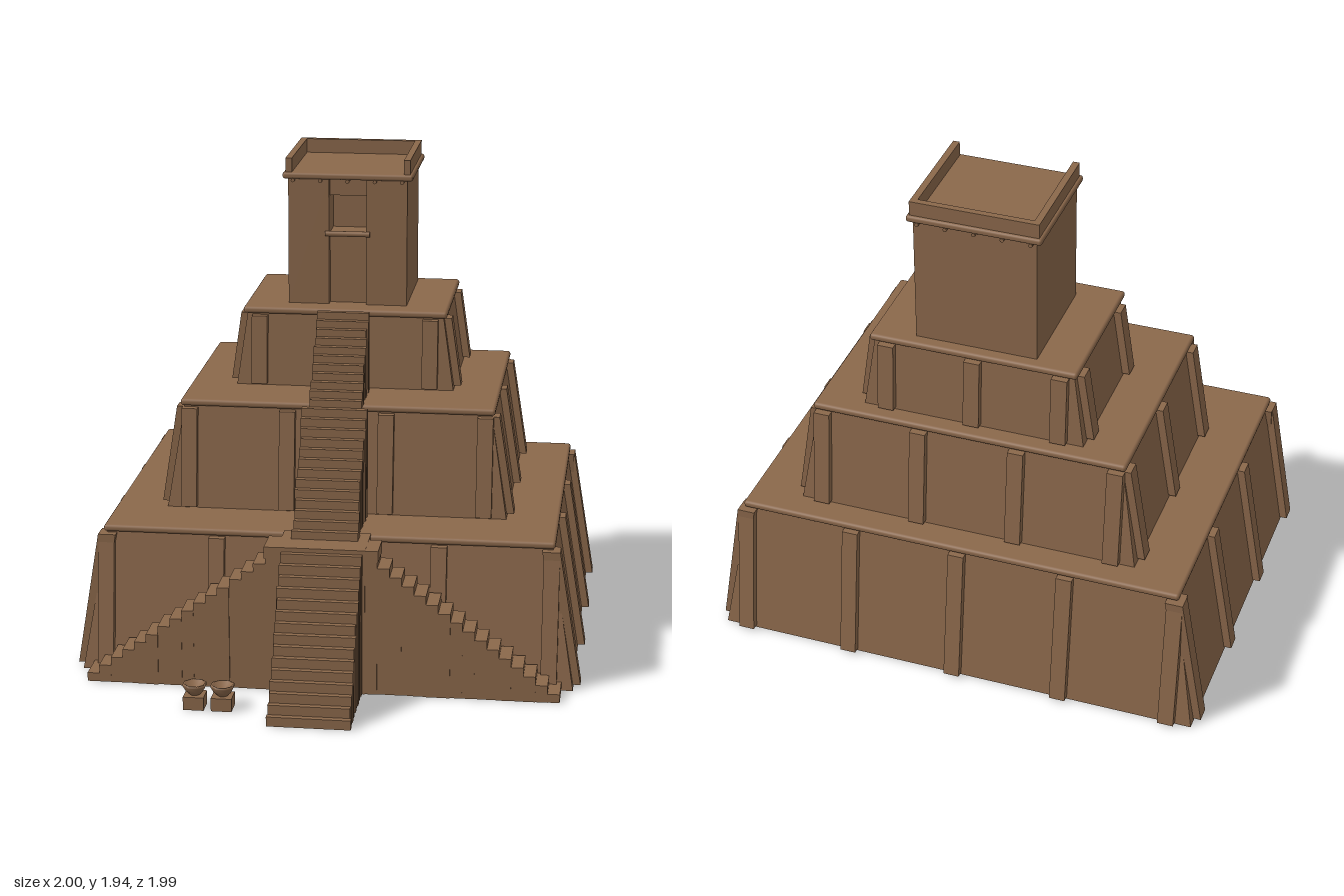
import * as THREE from 'three';
import { RoundedBoxGeometry } from 'three/addons/geometries/RoundedBoxGeometry.js';

const clay = new THREE.MeshStandardMaterial({ color: 0x8b684b });
clay.name = 'mudBrick';

// small seeded wobble for hand-laid bricks
let seed = 7;
const wobble = (a) => {
  seed = (seed * 16807) % 2147483647;
  return (seed / 2147483647 - 0.5) * 2 * a;
};

function add(parent, name, geometry, x = 0, y = 0, z = 0) {
  const mesh = new THREE.Mesh(geometry, clay);
  mesh.name = name;
  mesh.position.set(x, y, z);
  parent.add(mesh);
  return mesh;
}

// box given by its limits
function block(parent, name, x0, x1, y0, y1, z0, z1) {
  return add(parent, name, new THREE.BoxGeometry(x1 - x0, y1 - y0, z1 - z0),
    (x0 + x1) / 2, (y0 + y1) / 2, (z0 + z1) / 2);
}

// move the upper corners of a box by a rule
function reshapeTop(geometry, rule) {
  const p = geometry.attributes.position;
  for (let i = 0; i < p.count; i++) {
    if (p.getY(i) > 0) {
      const [x, z] = rule(p.getX(i), p.getZ(i));
      p.setX(i, x);
      p.setZ(i, z);
    }
  }
  geometry.computeVertexNormals();
  return geometry;
}

// sloped terrace with a rounded cap and leaning buttresses on all sides
function tier(root, t) {
  const g = new THREE.Group();
  g.name = t.name;
  g.position.set(0, t.y0, t.cz);
  root.add(g);
  const h = t.y1 - t.y0;
  const bodyH = h - 0.015;
  const [bx, bz] = t.bottom, [tx, tz] = t.top, [cx, cz] = t.cap;
  add(g, 'slopedWalls', reshapeTop(new THREE.BoxGeometry(bx * 2, bodyH, bz * 2),
    (x, z) => [Math.sign(x) * tx, Math.sign(z) * tz]), 0, bodyH / 2, 0);
  add(g, 'terraceCap', new RoundedBoxGeometry(cx * 2, 0.028, cz * 2, 2, 0.012), 0, h - 0.014, 0);

  const ribH = h - 0.045, depth = 0.07;
  const sides = [
    [0, bz, tz, t.alongX], [Math.PI, bz, tz, t.alongX],
    [Math.PI / 2, bx, tx, t.alongZ], [-Math.PI / 2, bx, tx, t.alongZ],
  ];
  for (const [angle, b, top, spots] of sides) {
    const side = new THREE.Group();
    side.name = 'buttressRow';
    side.rotation.y = angle;
    g.add(side);
    const lean = (b - top) * ribH / bodyH;
    for (const s of spots) {
      add(side, 'buttress', reshapeTop(new THREE.BoxGeometry(0.063, ribH, depth),
        (x, z) => [x, z - lean]), s, 0.01 + ribH / 2, b + 0.028 - depth / 2);
    }
  }
}

// straight flight climbing towards the back, each step a full column
function flight(root, name, half, zFront, zBack, y0, y1, n) {
  const g = new THREE.Group();
  g.name = name;
  root.add(g);
  const run = (zFront - zBack) / n, rise = (y1 - y0) / n;
  for (let i = 0; i < n; i++) {
    const z = zFront - i * run;
    block(g, 'step', -half + wobble(0.004), half + wobble(0.004),
      y0, y0 + (i + 1) * rise, z - run, z);
  }
}

// flight climbing along the front wall towards the middle
function sideFlight(root, sign) {
  const g = new THREE.Group();
  g.name = sign > 0 ? 'leftSideStair' : 'rightSideStair';
  root.add(g);
  const n = 16, run = (0.925 - 0.17) / n;
  for (let i = 0; i < n; i++) {
    const a = sign * (0.925 - i * run), b = a - sign * run;
    block(g, 'step', Math.min(a, b), Math.max(a, b), 0, 0.55 * (i + 1) / n,
      0.495 + wobble(0.006), 0.63 + wobble(0.004));
  }
}

// shrine with a recessed doorway and a parapet open to the front
function shrine(root) {
  const g = new THREE.Group();
  g.name = 'shrine';
  root.add(g);
  const y0 = 1.345, y1 = 1.865, zf = -0.197, zb = -0.657;
  block(g, 'hall', -0.24, 0.24, y0, y1, zb, zf - 0.14);
  for (const s of [-1, 1]) {
    block(g, 'frontWall', s > 0 ? 0.075 : -0.24, s > 0 ? 0.24 : -0.075, y0, y1, zf - 0.14, zf);
  }
  block(g, 'doorPanel', -0.075, 0.075, y0, 1.64, zf - 0.14, zf - 0.035);
  block(g, 'doorHeader', -0.075, 0.075, 1.79, y1, zf - 0.14, zf - 0.035);
  const lintel = add(g, 'lintelPole', new THREE.CylinderGeometry(0.011, 0.011, 0.18, 10), 0, 1.64, zf + 0.002);
  lintel.rotation.z = Math.PI / 2;

  // cornice, beam ends and parapet
  add(g, 'cornice', new RoundedBoxGeometry(0.525, 0.026, 0.49, 2, 0.01), 0, 1.873, -0.432);
  for (const x of [-0.22, -0.11, 0, 0.11, 0.22]) {
    const beam = add(g, 'roofBeam', new THREE.CylinderGeometry(0.008, 0.008, 0.49, 8), x, 1.855, -0.43);
    beam.rotation.x = Math.PI / 2;
  }
  for (const s of [-1, 1]) {
    block(g, 'sideParapet', s * 0.238 - 0.013, s * 0.238 + 0.013, 1.88, 1.943, -0.665, -0.2);
  }
  block(g, 'backParapet', -0.225, 0.225, 1.88, 1.943, -0.665, -0.64);
}

// fire bowl on a square plinth
function bowl(root, x) {
  const g = new THREE.Group();
  g.name = 'fireBowl';
  g.position.set(x, 0, 0.835);
  root.add(g);
  block(g, 'plinth', -0.04, 0.04, 0, 0.052, -0.04, 0.04);
  const profile = [[0, 0.05], [0.02, 0.052], [0.036, 0.068], [0.047, 0.088], [0.047, 0.096],
    [0.04, 0.096], [0.025, 0.08], [0, 0.073]].map(([r, y]) => new THREE.Vector2(r, y));
  const dish = add(g, 'dish', new THREE.LatheGeometry(profile, 8));
  dish.rotation.y = Math.PI / 8;
}

export function createModel() {
  const root = new THREE.Group();
  root.name = 'steppedTemple';
  tier(root, { name: 'lowerTier', y0: 0, y1: 0.585, cz: -0.235, bottom: [0.97, 0.733], top: [0.875, 0.655],
    cap: [0.888, 0.677], alongX: [-0.875, -0.437, 0, 0.437, 0.875], alongZ: [-0.66, -0.22, 0.22, 0.66] });
  tier(root, { name: 'middleTier', y0: 0.585, y1: 1.027, cz: -0.3125, bottom: [0.68, 0.49], top: [0.612, 0.445],
    cap: [0.628, 0.463], alongX: [-0.59, -0.197, 0.197, 0.59], alongZ: [-0.415, 0, 0.415] });
  tier(root, { name: 'upperTier', y0: 1.027, y1: 1.35, cz: -0.406, bottom: [0.44, 0.3], top: [0.395, 0.28],
    cap: [0.412, 0.3], alongX: [-0.345, 0, 0.345], alongZ: [-0.225, 0.225] });
  shrine(root);

  // stairways and landing
  flight(root, 'lowerStair', 0.157, 0.995, 0.632, 0, 0.57, 15);
  block(root, 'landing', -0.17, 0.17, 0, 0.587, 0.42, 0.633);
  for (const s of [-1, 1]) {
    block(root, 'landingShoulder', s * 0.195 - 0.026, s * 0.195 + 0.026, 0.54, 0.586, 0.495, 0.632);
    sideFlight(root, s);
  }
  flight(root, 'middleStair', 0.127, 0.525, 0.2, 0.585, 1.027, 13);
  flight(root, 'upperStair', 0.102, 0.2, -0.078, 1.027, 1.35, 11);

  bowl(root, -0.46);
  bowl(root, -0.352);
  return root;
}
